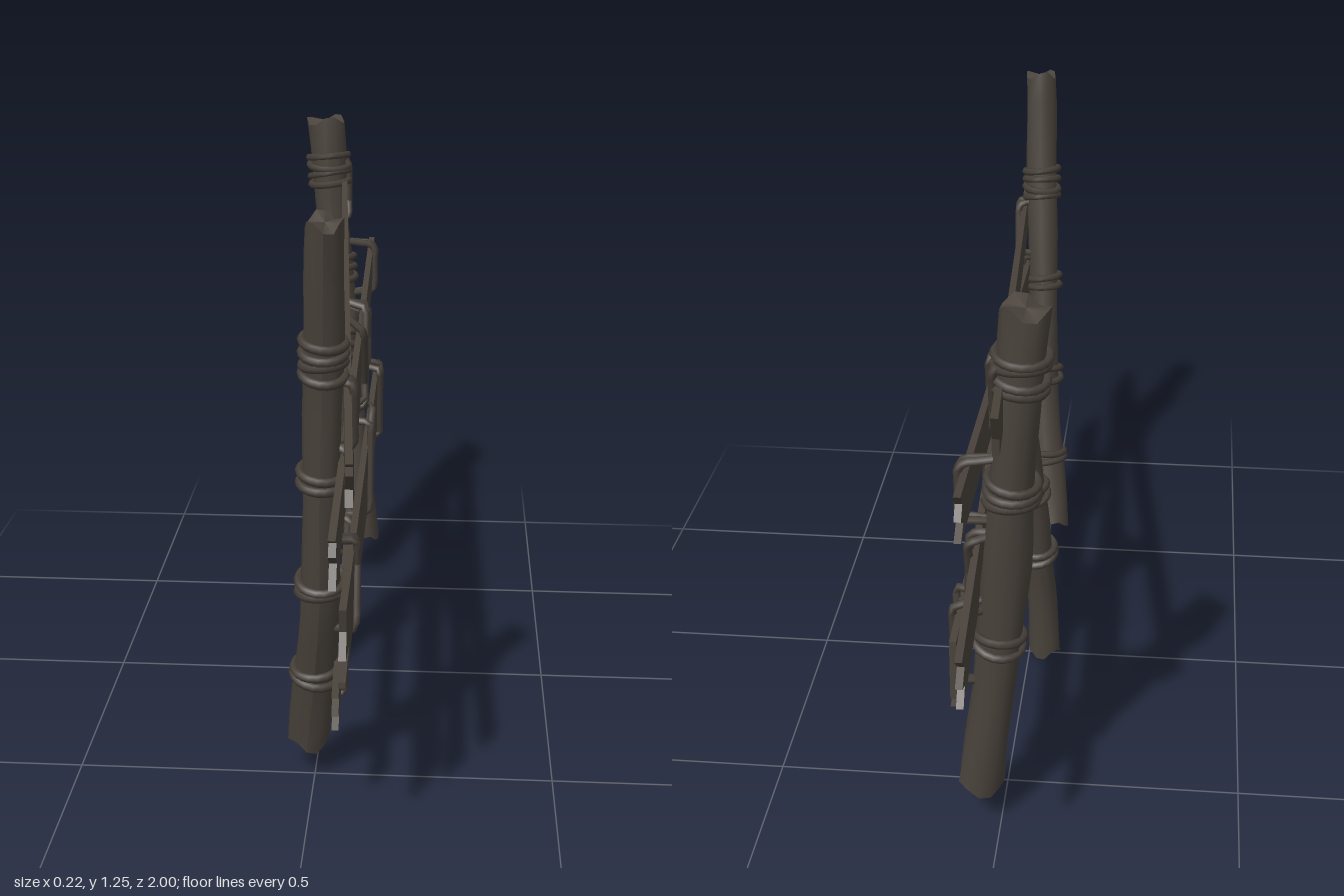
import * as THREE from 'three';

const wood = new THREE.MeshStandardMaterial({ color: 0x4a433c });
wood.name = 'weathered wood';
const twine = new THREE.MeshStandardMaterial({ color: 0x453e38 });
twine.name = 'old rope';
const V = (x, y, z) => new THREE.Vector3(x, y, z);

function add(parent, name, geometry, material) {
  const mesh = new THREE.Mesh(geometry, material);
  mesh.name = name;
  parent.add(mesh);
  return mesh;
}

// Crooked post data: points are [x, y, z, radius] from bottom to top
function makePost(points, seed) {
  const curve = new THREE.CatmullRomCurve3(points.map(p => V(p[0], p[1], p[2])));
  const at = y => {
    let lo = 0, hi = 1;
    for (let i = 0; i < 24; i++) {
      const mid = (lo + hi) / 2;
      if (curve.getPoint(mid).y < y) lo = mid; else hi = mid;
    }
    const i = Math.min(Math.floor(lo * (points.length - 1)), points.length - 2);
    const f = lo * (points.length - 1) - i;
    return {
      c: curve.getPoint(lo), t: curve.getTangent(lo),
      r: points[i][3] * (1 - f) + points[i + 1][3] * f,
    };
  };
  return { at, seed, y0: points[0][1], y1: points[points.length - 1][1] };
}

// Bend a cylinder along the post, with knobbly sides and rough-cut ends
function postGeometry(post) {
  const g = new THREE.CylinderGeometry(1, 1, 1, 12, 18);
  const pos = g.attributes.position;
  for (let i = 0; i < pos.count; i++) {
    const t = pos.getY(i) + 0.5, x = pos.getX(i), z = pos.getZ(i);
    const a = Math.atan2(z, x), rim = Math.hypot(x, z);
    const { c, t: d, r } = post.at(post.y0 + (post.y1 - post.y0) * t);
    const k = r * (1 + 0.06 * Math.sin(a * 2 + t * 9 + post.seed) + 0.04 * Math.sin(a * 3 - t * 23 + post.seed));
    const ox = x * k, oz = z * k;
    let y = c.y - (d.x * ox + d.z * oz) / d.y;
    if (t > 0.99 || t < 0.01) y += rim * 0.012 * Math.sin(a * 3 + post.seed);
    pos.setXYZ(i, c.x + ox, y, c.z + oz);
  }
  g.computeVertexNormals();
  return g;
}

// Rope rings around a post
function addRings(parent, post, y, count) {
  for (let i = 0; i < count; i++) {
    const { c, t, r } = post.at(y + (i - (count - 1) / 2) * 0.022);
    const ring = add(parent, 'ropeRing', new THREE.TorusGeometry(r + 0.005, 0.009, 6, 18), twine);
    const axis = t.clone().add(V(0.12 * Math.sin(i * 2 + y * 9), 0, 0.16 * Math.cos(i * 2.4 + y * 7)));
    ring.quaternion.setFromUnitVectors(V(0, 0, 1), axis.normalize());
    ring.position.copy(c);
  }
}

// Rope strap from the post, over the board face and back; ends are [u, y] with u = -z
function addStrap(parent, post, plankX, [u1, y1], [u2, y2]) {
  const a = post.at(y1).c, b = post.at(y2).c;
  const x1 = plankX(-u1) + 0.012, x2 = plankX(-u2) + 0.012;
  const path = new THREE.CurvePath();
  const pts = [V(a.x, y1 + 0.012, a.z), V(x1, y1, -u1), V(x2, y2, -u2), V(b.x, y2 - 0.012, b.z)];
  for (let i = 0; i < 3; i++) path.add(new THREE.LineCurve3(pts[i], pts[i + 1]));
  const smooth = new THREE.CatmullRomCurve3(path.getSpacedPoints(14));
  add(parent, 'ropeStrap', new THREE.TubeGeometry(smooth, 22, 0.009, 6), twine);
}

// Splintered board: outline in [u, y], extruded along x and slanted by plankX(z)
function plankGeometry(outline, plankX) {
  const shape = new THREE.Shape(outline.map(p => new THREE.Vector2(p[0], p[1])));
  const g = new THREE.ExtrudeGeometry(shape, { depth: 0.014, bevelEnabled: false });
  g.translate(0, 0, -0.007).rotateY(Math.PI / 2);
  const pos = g.attributes.position;
  for (let i = 0; i < pos.count; i++) pos.setX(i, pos.getX(i) + plankX(pos.getZ(i)));
  g.computeVertexNormals();
  return g;
}

// x of a board running from xa at za to xb at zb
const slant = (za, xa, zb, xb) => z => xa + (xb - xa) * (z - za) / (zb - za);

export function createModel() {
  const group = new THREE.Group();
  group.name = 'brokenFence';

  const posts = {
    frontPost: makePost([
      [-0.015, 0.085, 0.49, 0.042], [0.005, 0.27, 0.54, 0.041], [0.02, 0.46, 0.59, 0.042],
      [0.022, 0.67, 0.625, 0.037], [0.03, 0.93, 0.665, 0.036], [0.037, 1.235, 0.72, 0.037]], 1),
    middlePost: makePost([
      [-0.038, 0.015, 0, 0.036], [-0.03, 0.18, -0.005, 0.036], [-0.018, 0.33, -0.03, 0.038],
      [-0.005, 0.49, -0.06, 0.036], [0.01, 0.68, -0.105, 0.034], [0.025, 0.86, -0.147, 0.036]], 2.5),
    backPost: makePost([
      [0.042, 0.1, -0.622, 0.05], [0.01, 0.38, -0.645, 0.043], [-0.02, 0.67, -0.67, 0.046],
      [-0.04, 0.95, -0.69, 0.043], [-0.06, 1.21, -0.7, 0.047]], 4),
  };
  for (const [name, post] of Object.entries(posts)) add(group, name, postGeometry(post), wood);

  const x1 = slant(0.97, 0.096, -0.9, -0.025), x2 = slant(1, 0.068, -0.82, 0.055);
  const x3 = slant(0.25, 0.064, -1, 0.033), x4 = slant(0.89, 0.08, -0.79, 0.073);
  const x5 = slant(0.7, 0.055, -0.19, 0.032);

  // Boards, each with broken ends
  const boards = [
    ['topBoard', x1, [[-0.96, 0.782], [0.86, 0.995], [0.865, 1.03], [0.905, 1.09], [-0.97, 0.865], [-0.94, 0.85], [-0.975, 0.845], [-0.945, 0.81]]],
    ['upperBoard', x2, [[-0.99, 0.637], [0.82, 0.788], [0.78, 0.81], [0.815, 0.83], [0.79, 0.855], [0.815, 0.882], [-1, 0.735], [-0.97, 0.72], [-0.99, 0.7], [-0.955, 0.675]]],
    ['splitBoard', x3, [[-0.25, 0.678], [0.23, 0.615], [0.985, 0.54], [0.955, 0.572], [0.995, 0.59], [0.955, 0.612], [0.995, 0.648], [0.23, 0.74], [-0.25, 0.69]]],
    ['wideBoard', x4, [[-0.89, 0.4], [0.785, 0.4], [0.72, 0.412], [0.785, 0.418], [0.785, 0.55], [-0.875, 0.55], [-0.86, 0.5], [-0.89, 0.455], [-0.77, 0.43], [-0.89, 0.412]]],
    ['lowBoard', x5, [[-0.695, 0.21], [0.18, 0.275], [0.15, 0.29], [0.19, 0.312], [0.155, 0.33], [0.185, 0.355], [-0.705, 0.285], [-0.665, 0.265], [-0.705, 0.245], [-0.665, 0.23]]],
  ];
  for (const [name, px, outline] of boards) add(group, name, plankGeometry(outline, px), wood);

  // Rope windings: post, height, turns
  const ropes = new THREE.Group();
  ropes.name = 'ropes';
  group.add(ropes);
  const { frontPost: F, middlePost: M, backPost: B } = posts;
  for (const [post, y, n] of [
    [F, 0.97, 4], [F, 0.72, 2], [F, 0.48, 2], [F, 0.265, 2],
    [M, 0.78, 3], [M, 0.49, 2], [M, 0.31, 2],
    [B, 1.085, 4], [B, 0.83, 3], [B, 0.48, 2],
  ]) addRings(ropes, post, y, n);

  // Rope straps holding the boards: post, board, start, end
  for (const [post, px, a, b] of [
    [F, x1, [-0.68, 0.92], [-0.65, 0.79]], [F, x1, [-0.645, 0.92], [-0.625, 0.8]],
    [F, x2, [-0.655, 0.78], [-0.615, 0.66]], [F, x2, [-0.63, 0.78], [-0.6, 0.66]],
    [F, x4, [-0.56, 0.57], [-0.61, 0.39]], [F, x4, [-0.585, 0.57], [-0.55, 0.39]],
    [F, x5, [-0.545, 0.32], [-0.525, 0.21]], [F, x5, [-0.505, 0.32], [-0.49, 0.22]],
    [M, x2, [0.025, 0.83], [0.13, 0.62]], [M, x2, [0.165, 0.86], [0.11, 0.63]], [M, x2, [0.13, 0.86], [0.085, 0.65]],
    [M, x4, [0.135, 0.63], [0.05, 0.39]], [M, x4, [0.07, 0.6], [0.04, 0.39]],
    [M, x5, [0.01, 0.38], [0.02, 0.26]], [M, x5, [0.035, 0.38], [0.03, 0.26]],
    [B, x1, [0.73, 1.1], [0.685, 0.96]], [B, x1, [0.695, 1.1], [0.7, 0.96]],
    [B, x2, [0.68, 0.89], [0.68, 0.77]], [B, x2, [0.7, 0.89], [0.7, 0.77]],
    [B, x3, [0.7, 0.72], [0.65, 0.56]], [B, x3, [0.66, 0.72], [0.69, 0.56]],
    [B, x4, [0.62, 0.57], [0.655, 0.38]], [B, x4, [0.69, 0.57], [0.665, 0.38]],
  ]) addStrap(ropes, post, px, a, b);

  return group;
}
